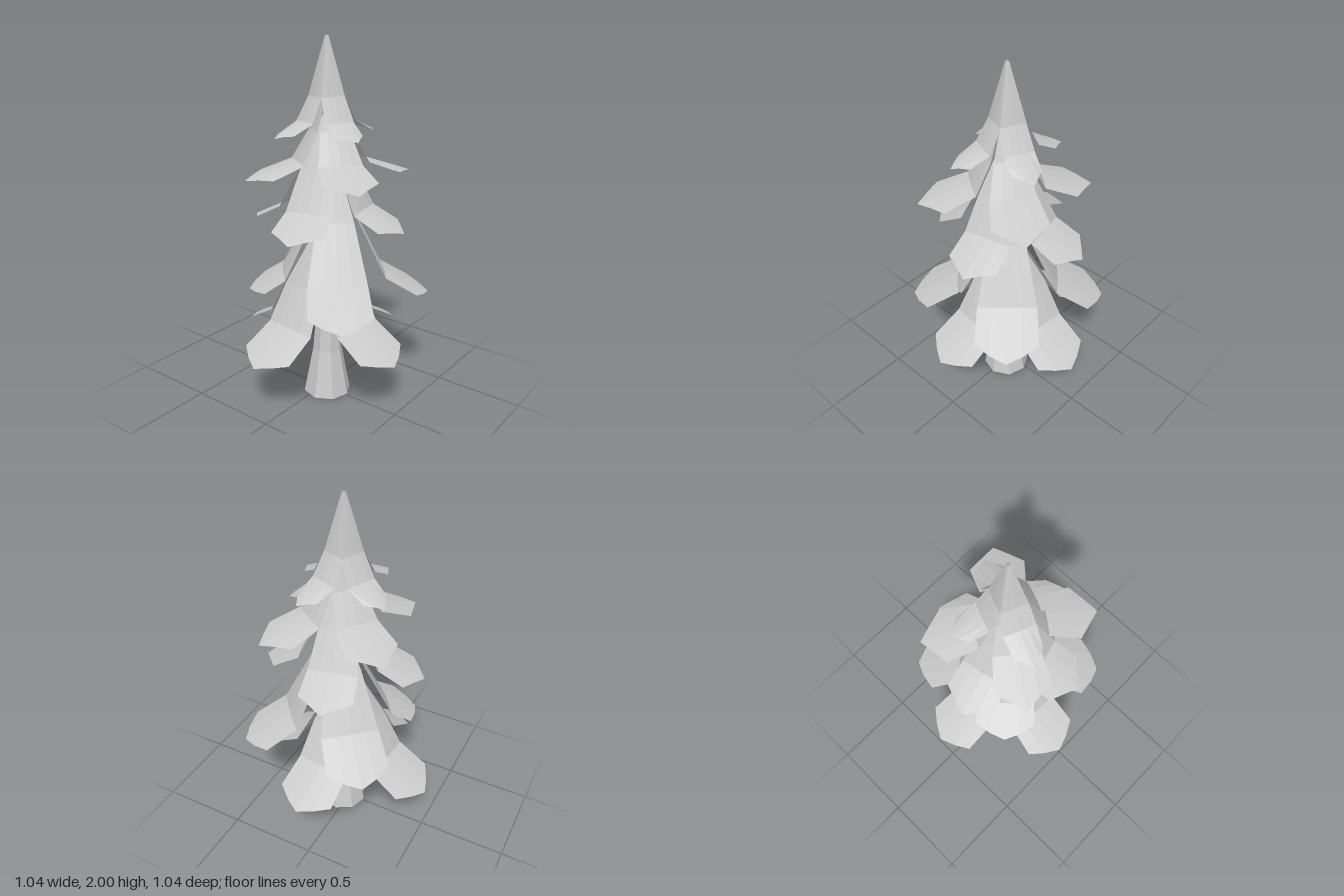
import * as THREE from 'three';

const COLUMNS = [-1, -0.5, 0, 0.5, 1];

// Each tier: centre [x, z], first blade angle, edge length relative to the tip,
// roundness of the end (1 is pointed), and stations [radius, height, half width]
const TIERS = [
  { name: 'bottomTier', centre: [0, 0], angle: 6, edge: 0.82, round: 1.3,
    stations: [[0.04, 0.98, 0.015], [0.165, 0.68, 0.13], [0.27, 0.47, 0.16], [0.525, 0.325, 0.17]] },
  { name: 'lowerTier', centre: [0.05, -0.03], angle: 48, edge: 0.82, round: 1.4, shortBlade: 1,
    stations: [[0.02, 1.35, 0.02], [0.13, 1.05, 0.1], [0.28, 0.75, 0.16], [0.54, 0.595, 0.17]] },
  { name: 'middleTier', centre: [0.02, -0.01], angle: -12, edge: 0.8, round: 1,
    stations: [[0.02, 1.6, 0.02], [0.13, 1.32, 0.1], [0.225, 1.12, 0.135], [0.445, 1.01, 0.145]] },
  { name: 'upperTier', centre: [0.04, -0.01], angle: 35, edge: 0.74, round: 1,
    stations: [[0.015, 1.78, 0.015], [0.095, 1.53, 0.08], [0.185, 1.37, 0.12], [0.46, 1.28, 0.145]] },
  { name: 'topTier', centre: [0.022, -0.003], angle: 22, edge: 0.76, round: 1,
    stations: [[0.007, 2, 0.007], [0.073, 1.7, 0.07], [0.137, 1.575, 0.085], [0.305, 1.5, 0.075]] },
];

// A drooping, slightly arched blade lofted across its stations
function bladeGeometry({ centre, stations, edge, round }, angle, stretch) {
  const dx = Math.cos(angle), dz = Math.sin(angle);
  const positions = [], index = [];
  const n = COLUMNS.length, last = stations.length - 1;
  stations.forEach(([r, y, w], i) => {
    for (const u of COLUMNS) {
      const bend = u * u;
      let radius = r - 0.06 * w * bend;
      let height = y - 0.06 * w * bend;
      if (i === last) {
        // the end narrows to a point along the last segment
        const [pr, py] = stations[i - 1];
        const tip = pr + (r - pr) * stretch;
        radius = tip * (1 - (1 - edge) * Math.pow(Math.abs(u), round));
        height = py + (y - py) * (radius - pr) / (r - pr) - 0.015 * bend;
      }
      positions.push(centre[0] + dx * radius - dz * w * u, height, centre[1] + dz * radius + dx * w * u);
    }
  });
  for (let i = 0; i < last; i++) {
    for (let j = 0; j < n - 1; j++) {
      const a = i * n + j, b = a + 1, c = a + n, d = c + 1;
      index.push(a, b, c, b, d, c);
    }
  }
  const g = new THREE.BufferGeometry();
  g.setAttribute('position', new THREE.Float32BufferAttribute(positions, 3));
  g.setIndex(index);
  const flat = g.toNonIndexed();
  flat.computeVertexNormals();
  return flat;
}

export function createModel() {
  const tree = new THREE.Group();
  tree.name = 'pineTree';
  const bark = new THREE.MeshStandardMaterial({ color: 0xcccccc, flatShading: true });
  const needles = new THREE.MeshStandardMaterial({ color: 0xcccccc, flatShading: true, side: THREE.DoubleSide });

  // Eight-sided trunk, flared at the foot and tapering inside the branches
  const profile = [[0, 0], [0.135, 0], [0.083, 0.27], [0.072, 0.4], [0.045, 1], [0, 1.7]]
    .map(([r, y]) => new THREE.Vector2(r, y));
  const trunk = new THREE.Mesh(new THREE.LatheGeometry(profile, 8), bark);
  trunk.name = 'trunk';
  trunk.rotation.y = 0.1;
  trunk.position.x = 0.033;
  tree.add(trunk);

  // Five tiers of four blades, each tier turned against the one below
  for (const tier of TIERS) {
    const group = new THREE.Group();
    group.name = tier.name;
    for (let k = 0; k < 4; k++) {
      const angle = THREE.MathUtils.degToRad(tier.angle + 90 * k);
      const stretch = k === tier.shortBlade ? 0.72 : 1;
      const blade = new THREE.Mesh(bladeGeometry(tier, angle, stretch), needles);
      blade.name = 'branchBlade';
      group.add(blade);
    }
    tree.add(group);
  }
  return tree;
}
